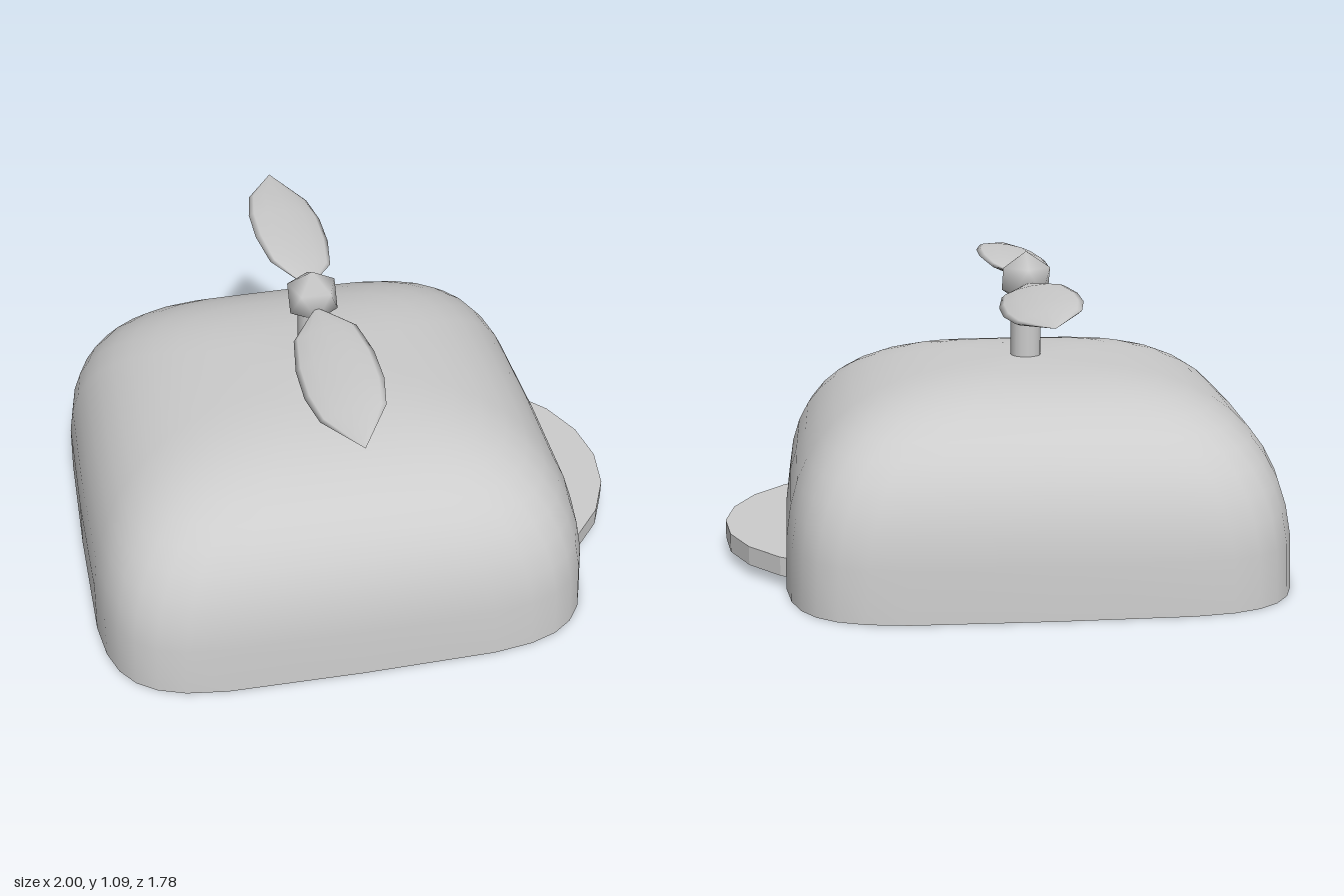
import * as THREE from 'three';
import { mergeVertices } from 'three/addons/utils/BufferGeometryUtils.js';

const CX = -0.11; // shared axis of cap, post and propeller

// Skin a list of closed rings (each an array of [x, y, z]) with smooth normals.
function loft(rings) {
  const n = rings[0].length;
  const index = [];
  for (let i = 0; i < rings.length - 1; i++) {
    for (let j = 0; j < n; j++) {
      const k = (j + 1) % n;
      const a = i * n + j, b = i * n + k, c = a + n, d = b + n;
      index.push(a, b, c, b, d, c);
    }
  }
  const geo = new THREE.BufferGeometry();
  geo.setAttribute('position', new THREE.Float32BufferAttribute(rings.flat(2), 3));
  geo.setIndex(index);
  geo.computeVertexNormals();
  return geo;
}

const spow = (v, p) => Math.sign(v) * Math.pow(Math.abs(v), p);

// Rounded-square ring, half width s, at height y; larger n is squarer.
function squareRing(s, y, n, count = 32) {
  return Array.from({ length: count }, (_, j) => {
    const a = (j / count) * Math.PI * 2;
    return [s * spow(Math.cos(a), 2 / n), y, -s * spow(Math.sin(a), 2 / n)];
  });
}

export function createModel() {
  const group = new THREE.Group();
  const grey = new THREE.MeshStandardMaterial({ color: 0xcccccc });
  grey.name = 'light grey';

  const add = (name, geo, x = 0, y = 0, z = 0, parent = group) => {
    const mesh = new THREE.Mesh(geo, grey);
    mesh.name = name;
    mesh.position.set(x, y, z);
    parent.add(mesh);
    return mesh;
  };

  // Domed cap with a rounded-square footprint
  const rings = [];
  const steps = 12;
  for (let i = 0; i <= steps; i++) {
    const t = (i / steps) * Math.PI / 2;
    const s = i === steps ? 0 : 0.89 * Math.pow(Math.cos(t), 2 / 3);
    const rise = Math.pow(Math.sin(t), 2 / 3);
    rings.push(squareRing(s, 0.714 * rise, 5.2 - 1.4 * rise * rise));
  }
  add('dome', loft(rings), CX);

  // Flat underside, wound to face down
  add('underside', loft([squareRing(0, 0, 5.2), squareRing(0.89, 0, 5.2)]), CX);

  // Brim: a flat-sided disc running into the dome
  const brim = new THREE.CylinderGeometry(0.6, 0.6, 0.068, 22).rotateY(Math.PI / 2).toNonIndexed();
  brim.computeVertexNormals();
  add('brim', brim, 0.4, 0.074);

  // Propeller post
  add('post', new THREE.CylinderGeometry(0.055, 0.055, 0.27, 16), CX, 0.825);

  // Hub: smooth-shaded icosahedron standing on a corner
  let hub = new THREE.IcosahedronGeometry(0.1, 0);
  hub.deleteAttribute('normal');
  hub.deleteAttribute('uv');
  hub = mergeVertices(hub, 1e-4);
  hub.rotateZ(-Math.atan(2 / (1 + Math.sqrt(5)))).rotateY(Math.PI / 2);
  hub.computeVertexNormals();
  add('hub', hub, CX, 0.993);

  // Two pitched leaf-shaped blades: [distance along blade, half width]
  const outline = [[0.07, 0], [0.1, 0.025], [0.23, 0.112], [0.4, 0.137], [0.56, 0.137], [0.7, 0.112], [0.89, 0]];
  const blade = loft(outline.map(([z, w]) =>
    Array.from({ length: 12 }, (_, j) => {
      const a = (j / 12) * Math.PI * 2;
      return [w * Math.cos(a), 0.19 * w * spow(Math.sin(a), 1.4), z];
    })));
  blade.rotateZ(0.18);
  const propeller = new THREE.Group();
  propeller.name = 'propeller';
  propeller.position.set(CX, 0.987, 0);
  group.add(propeller);
  add('frontBlade', blade, 0, 0, 0, propeller);
  add('backBlade', blade, 0, 0, 0, propeller).rotation.y = Math.PI;

  return group;
}
